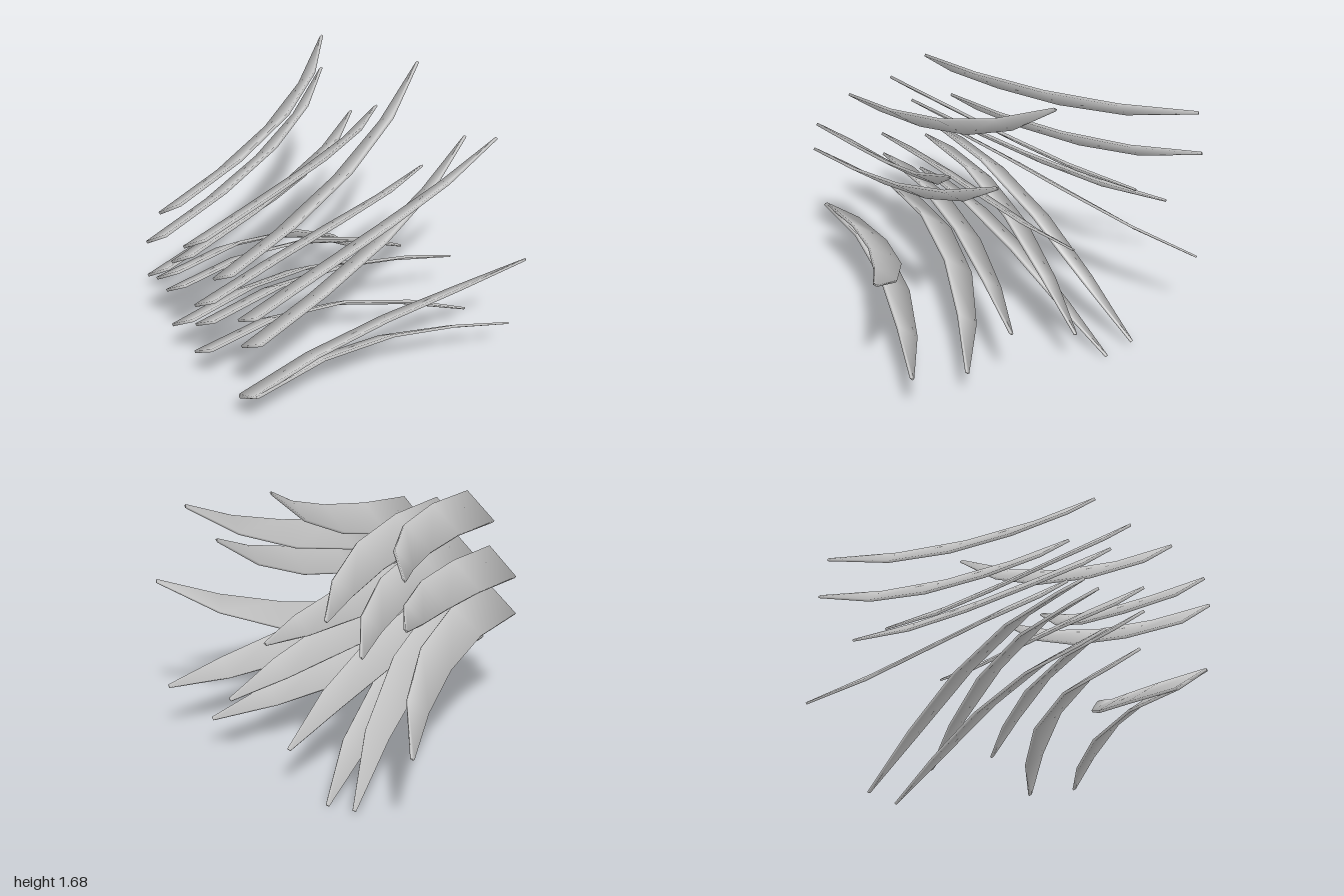
import * as THREE from 'three';

// Each blade: base centre x, y, then tip x, y, z
const BLADES = [
  [-0.17, 1.26, -0.92, 1.44, -0.74],
  [-0.345, 0.955, -0.95, 1.195, -0.76],
  [0.06, 1.17, -0.48, 1.13, -0.82],
  [-0.075, 0.985, -0.70, 0.99, -0.80],
  [-0.35, 0.72, -0.99, 0.505, -0.745],
  [-0.245, 0.765, -0.585, 0.045, -0.73],
  [-0.12, 0.505, -0.405, 0.015, -0.745],
  [-0.165, 0.725, -0.16, 0.28, -0.785],
  [0.325, 1.115, -0.02, 1.68, -0.73],
  [0.565, 0.815, 0.345, 1.355, -0.785],
  [0.535, 0.97, 0.605, 1.485, -0.77],
  [0.505, 0.415, 0.985, 0.93, -0.69],
  [0.52, 0.42, 0.835, 0.335, -0.765],
  [0.08, 0.435, 0.495, 0.23, -0.74],
  [0.12, 0.665, 0.265, 0.45, -0.81],
  [0.125, 0.805, -0.075, 0.9, -0.855],
];
const BASE_Z = 0.835;
const ACROSS = new THREE.Vector3(0.19, 0.148, 0).normalize();
const FACING = new THREE.Vector3(-ACROSS.y, ACROSS.x, 0);

// Rings along a blade: position, share of the bend to the tip,
// arch of the flat face, full width, thickness
const RINGS = [
  [0, 0, 0, 0.245, 0.016],
  [0.28, 0.085, 0.042, 0.235, 0.016],
  [0.56, 0.3, 0.045, 0.207, 0.016],
  [0.8, 0.62, 0.02, 0.138, 0.015],
  [1, 1, 0, 0.02, 0.011],
];
const CORNERS = [[-1, -1], [1, -1], [1, 1], [-1, 1]];

// Thin four-sided blade, bending progressively from base to tip
function bladeGeometry([bx, by, tx, ty, tz]) {
  const positions = [], normals = [], index = [];
  const last = RINGS.length - 1;

  const centres = RINGS.map(([t, bend, arch]) => new THREE.Vector3(
    bx + (tx - bx) * bend,
    by + (ty - by) * bend,
    BASE_Z + (tz - BASE_Z) * t,
  ).addScaledVector(FACING, arch));

  RINGS.forEach(([, , , width, thick], i) => {
    const along = centres[Math.min(i + 1, last)].clone()
      .sub(centres[Math.max(i - 1, 0)]).normalize();
    const side = ACROSS.clone().addScaledVector(along, -ACROSS.dot(along)).normalize();
    const up = new THREE.Vector3().crossVectors(side, along);

    for (const [s, u] of CORNERS) {
      const p = centres[i].clone()
        .addScaledVector(side, s * width / 2)
        .addScaledVector(up, u * thick / 2);
      // rounded shading: each corner's normal points diagonally outward
      const n = side.clone().multiplyScalar(s).addScaledVector(up, u);
      if (i === 0) n.sub(along);
      n.normalize();
      positions.push(p.x, p.y, p.z);
      normals.push(n.x, n.y, n.z);
    }
    if (i === last) return;
    for (let k = 0; k < 4; k++) {
      const a = i * 4 + k, b = i * 4 + (k + 1) % 4;
      index.push(a, a + 4, b + 4, a, b + 4, b);
    }
  });

  // end caps
  const e = last * 4;
  index.push(0, 1, 2, 0, 2, 3, e, e + 2, e + 1, e, e + 3, e + 2);

  const geometry = new THREE.BufferGeometry();
  geometry.setAttribute('position', new THREE.Float32BufferAttribute(positions, 3));
  geometry.setAttribute('normal', new THREE.Float32BufferAttribute(normals, 3));
  geometry.setIndex(index);
  return geometry;
}

export function createModel() {
  const group = new THREE.Group();
  group.name = 'grassBlades';
  const material = new THREE.MeshStandardMaterial({ color: 0xcccccc });
  BLADES.forEach((blade, i) => {
    const mesh = new THREE.Mesh(bladeGeometry(blade), material);
    mesh.name = `blade${i + 1}`;
    group.add(mesh);
  });
  return group;
}
